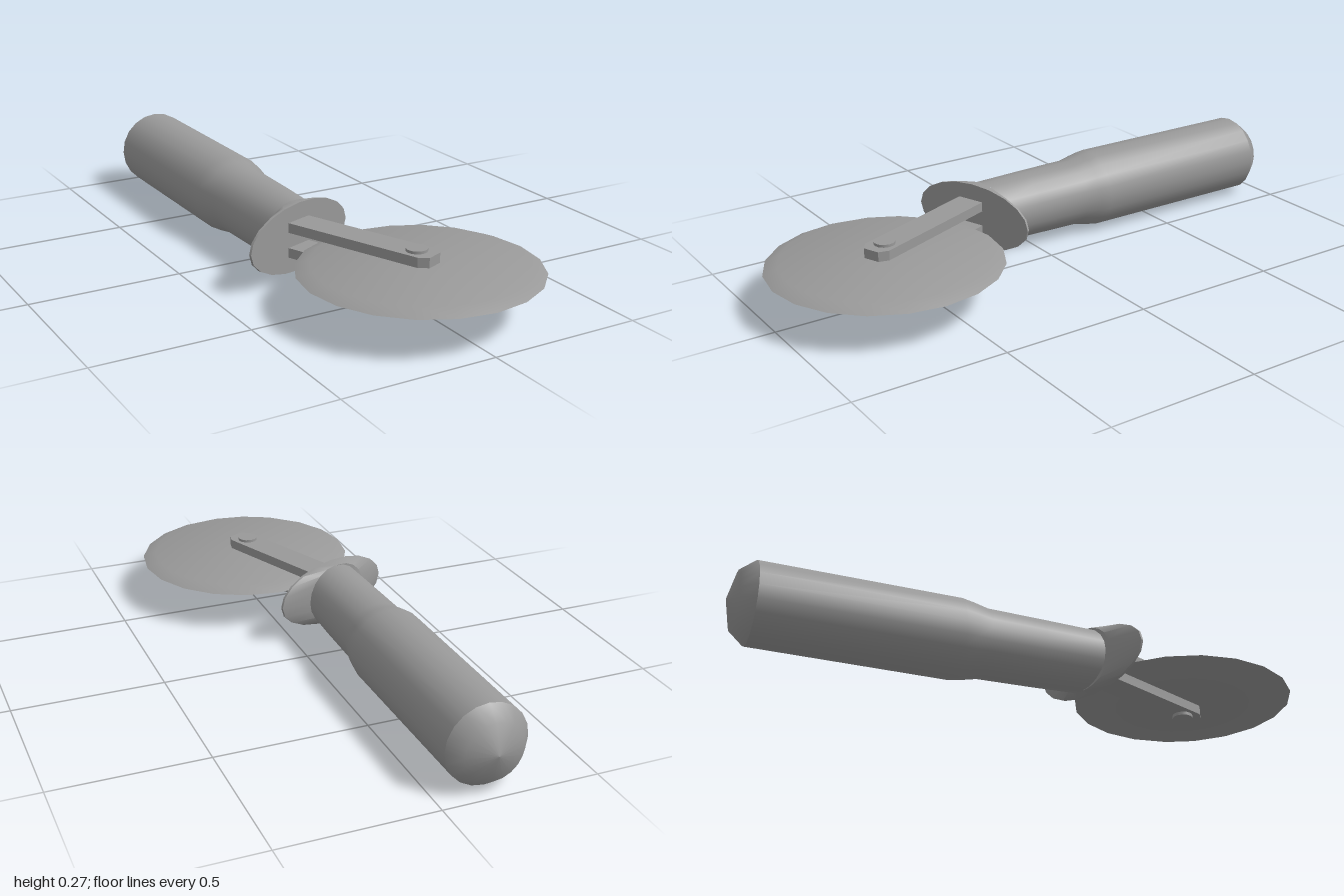
import * as THREE from 'three';
import { toCreasedNormals } from 'three/addons/utils/BufferGeometryUtils.js';

const SIDES = 20;
const MID_Y = 0.137;      // height of the tool's centre plane
const HANDLE_X = -0.17;   // handle axis
const ARM_ANGLE = 0.385;  // sideways bend of the fork
const GUARD_ANGLE = 0.347;

export function createModel() {
  const model = new THREE.Group();
  model.name = 'pizzaCutter';
  const grey = new THREE.MeshStandardMaterial({ color: 0x999999 });
  grey.name = 'grey';

  const add = (name, geometry, x, y, z, angle = 0) => {
    const mesh = new THREE.Mesh(geometry, grey);
    mesh.name = name;
    mesh.position.set(x, y, z);
    mesh.rotation.y = angle;
    model.add(mesh);
    return mesh;
  };
  const lathe = (points, sides = SIDES) =>
    new THREE.LatheGeometry(points.map(([r, h]) => new THREE.Vector2(r, h)), sides);

  // Grip: straight body narrowing to a neck whose end is cut along the guard
  const grip = lathe([[0.133, -0.927], [0.133, -0.28], [0.126, -0.24], [0.115, -0.19],
    [0.112, 0], [0.108, 0.17]]).rotateX(Math.PI / 2);
  const gp = grip.attributes.position;
  for (let i = 0; i < gp.count; i++) {
    if (gp.getZ(i) > 0.1) gp.setZ(i, 0.165 - Math.tan(GUARD_ANGLE) * gp.getX(i));
  }
  grip.computeVertexNormals();
  add('grip', toCreasedNormals(grip, 0.6), HANDLE_X, MID_Y, 0);

  // Rounded butt of the grip
  add('gripEnd', lathe([[0, -1], [0.095, -0.975], [0.133, -0.927]]).rotateX(Math.PI / 2),
    HANDLE_X, MID_Y, 0);

  // Finger guard: wide oval plate flaring forward from the round neck
  const guard = lathe([[0, -0.04], [0.118, -0.04], [0.2285, -0.008], [0.2285, 0], [0, 0]])
    .rotateX(Math.PI / 2);
  const p = guard.attributes.position;
  for (let i = 0; i < p.count; i++) {
    const r = Math.hypot(p.getX(i), p.getY(i));
    p.setY(i, p.getY(i) * (r > 0.2 ? 0.113 / 0.2285 : 0.92));
  }
  add('fingerGuard', toCreasedNormals(guard, 0.6), HANDLE_X, MID_Y, 0.203, GUARD_ANGLE);

  // Blade: flat disc with a bevelled cutting edge
  const blade = lathe([[0, -0.019], [0.33, -0.019], [0.375, 0], [0.33, 0.019], [0, 0.019]]);
  add('blade', toCreasedNormals(blade, 0.6), 0, MID_Y, 0.623);

  // Two fork arms with clipped tips, above and below the blade
  const outline = new THREE.Shape([[-0.048, -0.46], [0.048, -0.46], [0.048, 0.035],
    [0.028, 0.064], [-0.028, 0.064], [-0.048, 0.035]].map(([u, v]) => new THREE.Vector2(u, v)));
  const arm = new THREE.ExtrudeGeometry(outline, { depth: 0.032, bevelEnabled: false })
    .rotateX(Math.PI / 2);
  add('upperArm', arm, -0.01, 0.195, 0.618, ARM_ANGLE);
  add('lowerArm', arm, -0.01, 0.112, 0.618, ARM_ANGLE);

  // Axle pin through arms and blade
  const pin = new THREE.CylinderGeometry(0.034, 0.034, 0.135, 12);
  add('axlePin', pin, -0.01, 0.1365, 0.618);

  return model;
}
